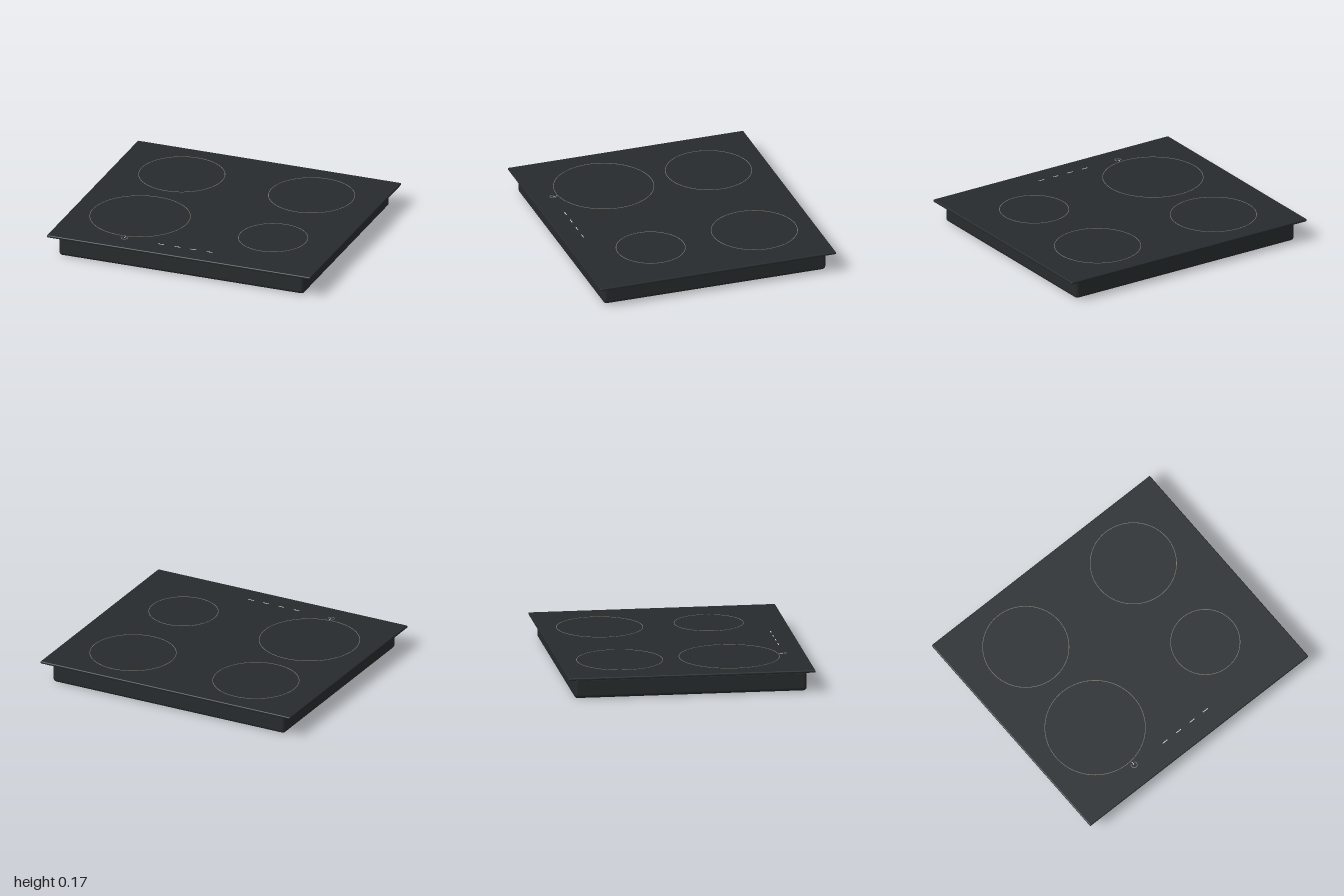
import * as THREE from 'three';
import { RoundedBoxGeometry } from 'three/addons/geometries/RoundedBoxGeometry.js';

const GLASS_TOP = 0.165;

export function createModel() {
  const group = new THREE.Group();
  const dark = new THREE.MeshStandardMaterial({ color: 0x272b2d });
  const print = new THREE.MeshStandardMaterial({ color: 0x74746c });
  const light = new THREE.MeshStandardMaterial({ color: 0xcccccc });

  function add(name, geometry, material, x, y, z) {
    const mesh = new THREE.Mesh(geometry, material);
    mesh.name = name;
    mesh.position.set(x, y, z);
    group.add(mesh);
    return mesh;
  }

  // Flat printed band lying just on the glass; angles run counter-clockwise from +x
  function band(radius, width, start = 0, sweep = Math.PI * 2) {
    const full = sweep >= Math.PI * 2;
    const shape = new THREE.Shape();
    const inner = radius - width / 2, outer = radius + width / 2;
    shape.absarc(0, 0, outer, start, start + sweep, false);
    if (full) {
      shape.holes.push(new THREE.Path().absarc(0, 0, inner, 0, Math.PI * 2, true));
    } else {
      shape.absarc(0, 0, inner, start + sweep, start, true);
    }
    return new THREE.ExtrudeGeometry(shape, {
      depth: 0.003, bevelEnabled: false, curveSegments: full ? 64 : 20,
    }).rotateX(-Math.PI / 2);
  }

  // Housing below the worktop and the overhanging glass plate
  add('housing', new RoundedBoxGeometry(1.86, 0.15, 1.66, 4, 0.025), dark, 0, 0.075, 0);
  add('glassPlate', new RoundedBoxGeometry(2, 0.018, 1.76, 3, 0.007), dark, 0, GLASS_TOP - 0.009, 0);

  // Cooking zone outlines
  const zones = [
    ['backRight', -0.495, -0.445, 0.305],
    ['backLeft', 0.49, -0.445, 0.305],
    ['frontRight', -0.505, 0.335, 0.355],
    ['frontLeft', 0.505, 0.335, 0.245],
  ];
  for (const [name, x, z, r] of zones) {
    add(name + 'ZoneRing', band(r, 0.004), print, x, GLASS_TOP - 0.001, z);
  }

  // Touch control dashes
  for (const x of [-0.19, -0.066, 0.056, 0.177]) {
    add('controlDash', new THREE.BoxGeometry(0.044, 0.003, 0.006), light, x, GLASS_TOP + 0.0005, 0.73);
  }

  // Power symbol: open ring with a stroke in the gap
  add('powerArc', band(0.022, 0.005, Math.PI * 0.78, Math.PI * 1.44), print, -0.47, GLASS_TOP - 0.001, 0.725);
  add('powerStroke', new THREE.BoxGeometry(0.005, 0.003, 0.026), light, -0.47, GLASS_TOP + 0.0005, 0.711);

  return group;
}
